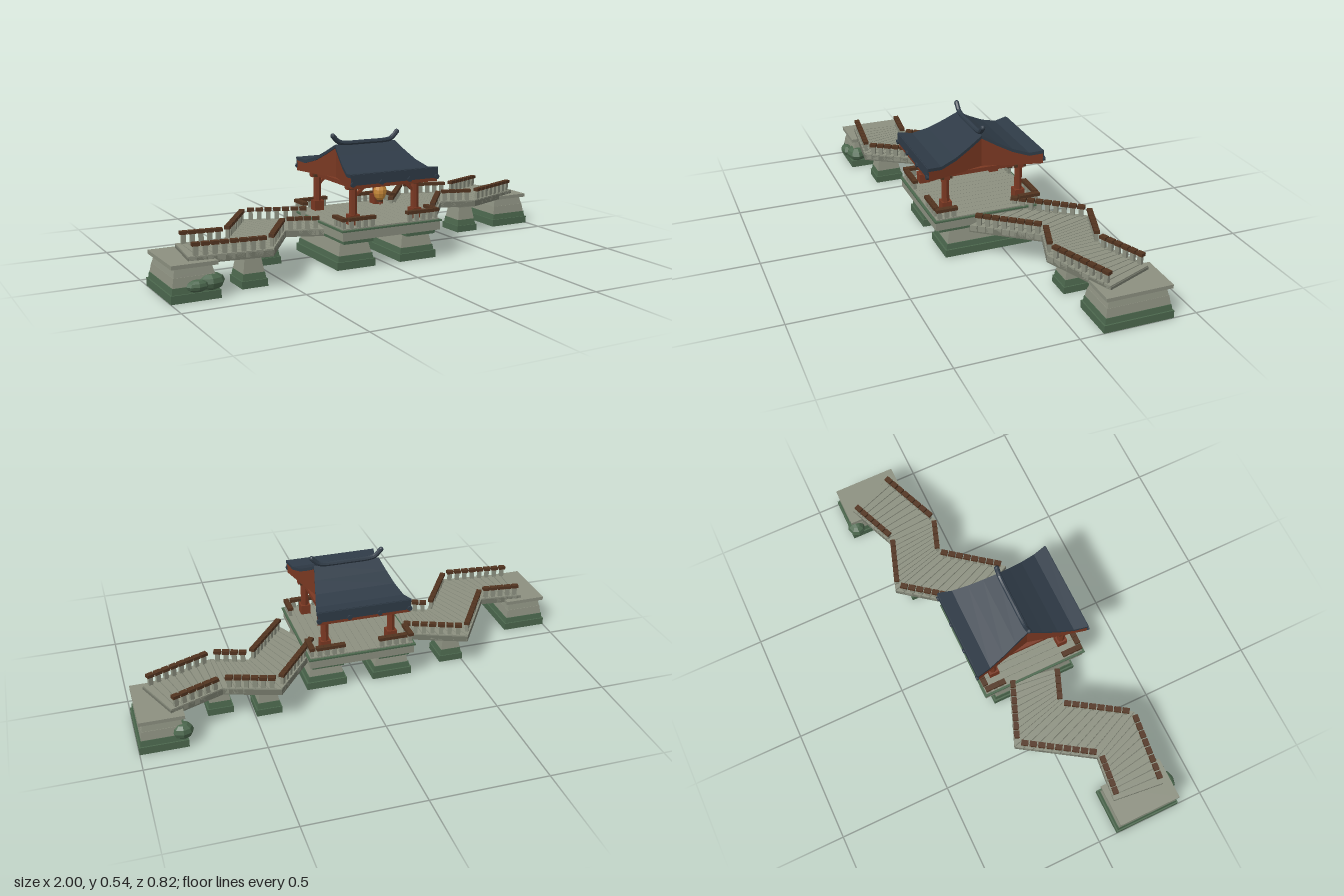
import * as THREE from 'three';

const mat = (name, color) => {
  const m = new THREE.MeshStandardMaterial({ color, flatShading: true });
  m.name = name;
  return m;
};

export function createModel() {
  const stone = mat('stone', 0x8c9080);
  const moss = mat('mossy stone', 0x4c684e);
  const plankGrey = mat('dark plank', 0x74786a);
  const railWood = mat('rail wood', 0x523420);
  const redWood = mat('red wood', 0x7a3822);
  const slate = mat('roof slate', 0x2f3b47);
  const amber = mat('lantern amber', 0xcc8c3a);

  const root = new THREE.Group();
  root.name = 'zigzagBridge';
  const add = (name, geo, material, x = 0, y = 0, z = 0, parent = root) => {
    const m = new THREE.Mesh(geo, material);
    m.name = name;
    m.position.set(x, y, z);
    parent.add(m);
    return m;
  };
  const box = (name, material, w, h, d, x, y, z) =>
    add(name, new THREE.BoxGeometry(w, h, d), material, x, y, z);

  // Block from y0 to y1 whose top is narrower than its base
  const frustum = (name, material, x, z, y0, y1, w, d, inset = 0) => {
    const g = new THREE.BoxGeometry(w, y1 - y0, d);
    const p = g.attributes.position;
    for (let i = 0; i < p.count; i++) {
      if (p.getY(i) > 0) {
        p.setX(i, p.getX(i) - Math.sign(p.getX(i)) * inset);
        p.setZ(i, p.getZ(i) - Math.sign(p.getZ(i)) * inset);
      }
    }
    g.computeVertexNormals();
    return add(name, g, material, x, (y0 + y1) / 2, z);
  };

  // Flat slab from a plan outline of Vector2(x, z)
  const slab = (name, material, pts, y0, y1) => {
    const g = new THREE.ExtrudeGeometry(new THREE.Shape(pts.map(p => new THREE.Vector2(p.x, -p.y))),
      { depth: y1 - y0, bevelEnabled: false });
    g.rotateX(-Math.PI / 2);
    return add(name, g, material, 0, y0, 0);
  };

  // Plan path of the walkway, with mitred offsets
  const V = (x, z) => new THREE.Vector2(x, z);
  const path = [V(-0.9, 0.225), V(-0.635, 0.255), V(-0.45, -0.03), V(-0.235, 0.055),
    V(0.235, 0.055), V(0.44, -0.21), V(0.635, -0.146), V(0.9, -0.255)];
  const normal = i => {
    const d = path[i + 1].clone().sub(path[i]).normalize();
    return V(-d.y, d.x);
  };
  const edge = (i, off) => {
    const a = normal(Math.max(i - 1, 0)), b = normal(Math.min(i, path.length - 2));
    const m = a.clone().add(b).normalize();
    return path[i].clone().addScaledVector(m, off / m.dot(b));
  };

  // Row of balusters, each with its own wooden cap
  const railing = (a, b, floor, top, inset) => {
    const d = b.clone().sub(a), len = d.length() - 2 * inset;
    const n = Math.max(1, Math.round(len / 0.036));
    d.normalize();
    for (let k = 0; k < n; k++) {
      const p = a.clone().addScaledVector(d, inset + (k + 0.5) * len / n);
      const turn = Math.atan2(-d.y, d.x);
      box('baluster', stone, 0.019, top - floor, 0.014, p.x, (top + floor) / 2, p.y).rotation.y = turn;
      box('railCap', railWood, 0.031, 0.014, 0.023, p.x, top + 0.007, p.y).rotation.y = turn;
    }
  };

  // Walkway sections: sub-slab, cross planks and railings
  for (const i of [0, 1, 2, 4, 5, 6]) {
    const [l0, l1, r0, r1] = [edge(i, -0.113), edge(i + 1, -0.113), edge(i, 0.113), edge(i + 1, 0.113)];
    slab('deckSlab', plankGrey, [l0, l1, r1, r0], 0.132, 0.157);
    const n = 9;
    for (let k = 0; k < n; k++) {
      const s = (k + 0.04) / n, e = (k + 0.92) / n;
      slab('plank', stone, [l0.clone().lerp(l1, s), l0.clone().lerp(l1, e),
        r0.clone().lerp(r1, e), r0.clone().lerp(r1, s)], 0.138, 0.163);
    }
    for (const off of [-0.1, 0.1]) railing(edge(i, off), edge(i + 1, off), 0.16, 0.2, 0.014);
  }

  // Small piers under the bends
  for (const i of [1, 2, 5, 6]) {
    const { x, y: z } = path[i];
    frustum('pierFoot', moss, x, z, 0, 0.03, 0.11, 0.13);
    frustum('pierCourse', moss, x, z, 0.03, 0.057, 0.1, 0.12, 0.004);
    frustum('pierShaft', stone, x, z, 0.057, 0.115, 0.09, 0.11, 0.01);
    frustum('pierCap', stone, x, z, 0.115, 0.134, 0.082, 0.1);
  }

  // Bank abutments at both ends
  for (const [x, z] of [[-0.9, 0.235], [0.9, -0.25]]) {
    frustum('abutmentFoot', moss, x, z, 0, 0.033, 0.2, 0.3);
    frustum('abutmentCourse', moss, x, z, 0.033, 0.058, 0.188, 0.288, 0.003);
    frustum('abutmentBody', stone, x, z, 0.058, 0.095, 0.178, 0.278, 0.006);
    frustum('abutmentNeck', stone, x, z, 0.095, 0.13, 0.164, 0.262, 0.008);
    frustum('abutmentCap', stone, x, z, 0.13, 0.146, 0.186, 0.284);
  }

  // Mossy boulders beside the abutments
  const boulder = (x, y, z, a, b, c) =>
    add('boulder', new THREE.SphereGeometry(1, 8, 6), moss, x, y, z).scale.set(a, b, c);
  boulder(-0.835, 0.062, 0.352, 0.062, 0.036, 0.046);
  boulder(-0.895, 0.06, 0.385, 0.045, 0.024, 0.028);
  boulder(0.82, 0.066, -0.372, 0.046, 0.036, 0.04);

  // Central platform on two large piers
  const cz = 0.057;
  for (const s of [-1, 1]) {
    const x = s * 0.15;
    frustum('platformFoot', moss, x, cz, 0, 0.033, 0.18, 0.4);
    frustum('platformCourse', moss, x, cz, 0.033, 0.057, 0.166, 0.386, 0.003);
    frustum('platformPier', stone, x, cz, 0.057, 0.113, 0.154, 0.374, 0.012);
    frustum('platformBand', moss, x, cz, 0.113, 0.132, 0.14, 0.44);
  }
  box('platformSlab', stone, 0.47, 0.04, 0.48, 0, 0.152, cz);
  box('platformTrim', moss, 0.482, 0.007, 0.492, 0, 0.1735, cz);
  for (let k = 0; k < 14; k++)
    box('platformPlank', stone, 0.0318, 0.006, 0.47, -0.2158 + k * 0.0332, 0.179, cz);

  // Platform railings, open at the walkways and at the middle of front and back
  for (const s of [-1, 1]) for (const t of [-1, 1]) {
    railing(V(s * 0.222, cz + t * 0.14), V(s * 0.222, cz + t * 0.235), 0.18, 0.212, 0);
    railing(V(s * 0.075, cz + t * 0.226), V(s * 0.205, cz + t * 0.226), 0.18, 0.212, 0);
  }

  // Pavilion posts, capitals and braces
  for (const s of [-1, 1]) for (const t of [-1, 1]) {
    const x = s * 0.15, z = cz + t * 0.167;
    box('postBase', redWood, 0.044, 0.045, 0.044, x, 0.203, z);
    add('post', new THREE.CylinderGeometry(0.017, 0.018, 0.165, 8), redWood, x, 0.2625, z);
    box('capital', railWood, 0.05, 0.012, 0.05, x, 0.34, z);
    box('brace', redWood, 0.06, 0.012, 0.014, x - s * 0.03, 0.32, z).rotation.z = -s * 0.7;
  }
  for (const s of [-1, 1]) {
    box('crossBeam', redWood, 0.36, 0.018, 0.022, 0, 0.341, cz + s * 0.167);
    box('sideBeam', redWood, 0.022, 0.018, 0.38, s * 0.15, 0.345, cz);
  }

  // Roof: sections across z, waisted toward the ridge
  const half = [[0, 0.495], [0.063, 0.459], [0.128, 0.426], [0.198, 0.404], [0.258, 0.411]];
  const profile = [...half.slice(1).reverse().map(([z, y]) => [-z, y]), ...half];
  const loft = (topOf, bottomOf, grow) => {
    const v = [];
    const quad = (a, b, c, d) => v.push(...a, ...b, ...c, ...a, ...c, ...d);
    const rings = profile.map(([z, y]) => {
      const w = 0.143 + 0.062 * Math.abs(z) / 0.258 + grow;
      return [[-w, topOf(y), cz + z], [w, topOf(y), cz + z], [w, bottomOf(y), cz + z], [-w, bottomOf(y), cz + z]];
    });
    for (let i = 0; i < rings.length - 1; i++) for (let j = 0; j < 4; j++) {
      const k = (j + 1) % 4, a = rings[i], b = rings[i + 1];
      quad(a[j], b[j], b[k], a[k]);
    }
    const f = rings[0], l = rings[rings.length - 1];
    quad(f[0], f[1], f[2], f[3]);
    quad(l[3], l[2], l[1], l[0]);
    const g = new THREE.BufferGeometry();
    g.setAttribute('position', new THREE.Float32BufferAttribute(v, 3));
    g.computeVertexNormals();
    return g;
  };
  add('roofGable', loft(y => y - 0.013, () => 0.35, 0), redWood);
  add('roofTiles', loft(y => y, y => y - 0.014, 0.004), slate);
  for (const t of [-1, 1]) {
    box('eaveFascia', slate, 0.412, 0.044, 0.005, 0, 0.387, cz + t * 0.2595);
    for (let k = 0; k < 4; k++)
      add('eaveTileEnd', new THREE.CylinderGeometry(0.011, 0.011, 0.01, 8).rotateX(Math.PI / 2),
        slate, -0.2 + k * 0.1333, 0.37, cz + t * 0.263);
  }

  // Ridge roll with upturned horns
  const ridge = new THREE.CatmullRomCurve3([[-0.157, 0.534], [-0.142, 0.517], [-0.122, 0.503], [0, 0.498],
    [0.122, 0.503], [0.142, 0.517], [0.157, 0.534]].map(([x, y]) => new THREE.Vector3(x, y, cz)));
  add('ridge', new THREE.TubeGeometry(ridge, 28, 0.011, 8), slate);
  for (const s of [-1, 1])
    add('ridgeHorn', new THREE.SphereGeometry(0.0115, 8, 6), slate, s * 0.157, 0.533, cz);

  // Hanging lantern
  const lz = 0.187;
  const body = [[0.012, -0.038], [0.022, -0.026], [0.028, -0.008], [0.028, 0.008], [0.022, 0.026], [0.012, 0.038]]
    .map(([r, y]) => V(r, y));
  add('lantern', new THREE.LatheGeometry(body, 10), amber, 0, 0.303, lz);
  for (const y of [0.262, 0.343])
    add('lanternCap', new THREE.CylinderGeometry(0.014, 0.014, 0.008, 10), railWood, 0, y, lz);
  add('lanternTassel', new THREE.CylinderGeometry(0.003, 0.006, 0.014, 6), redWood, 0, 0.253, lz);

  return root;
}
